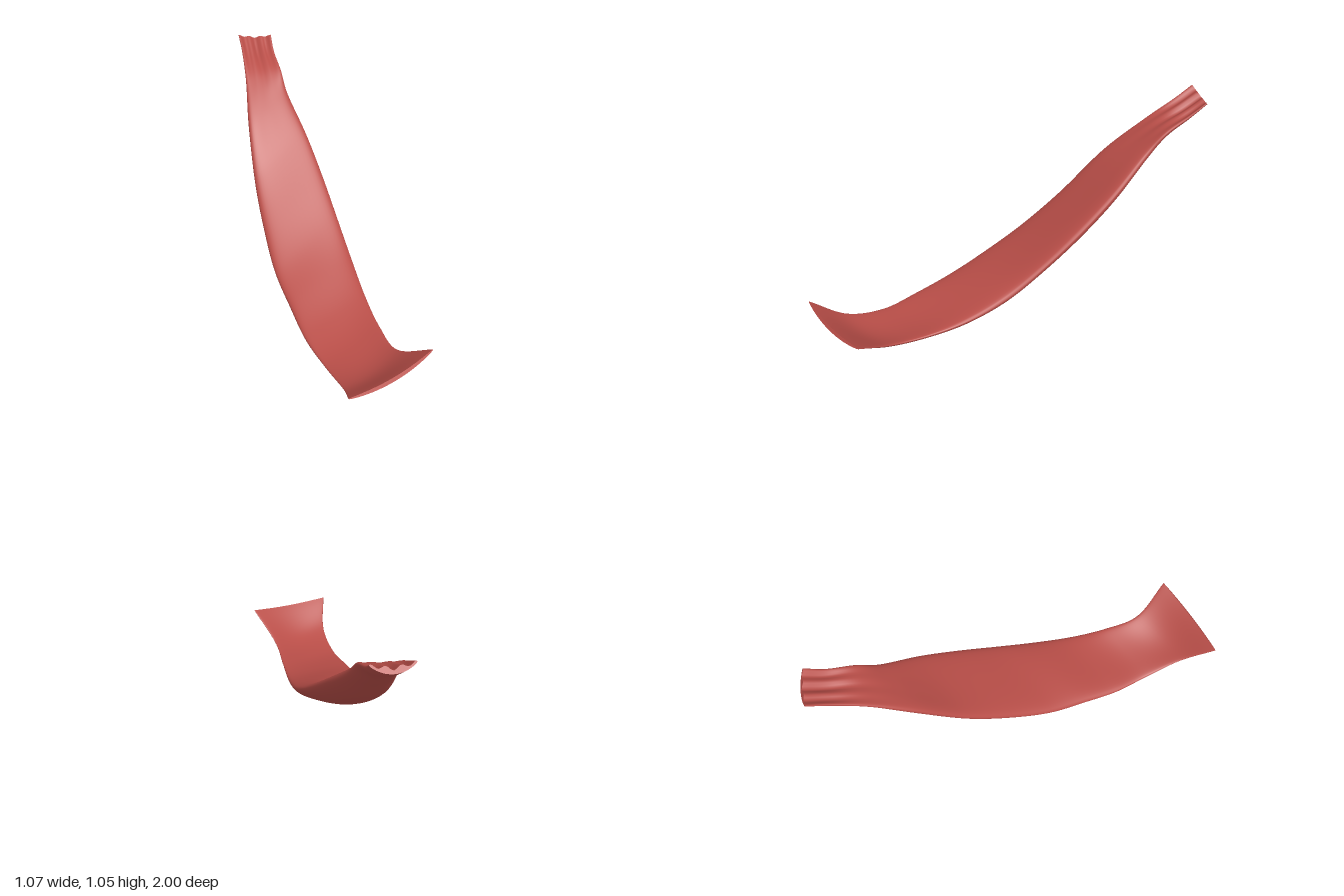
import * as THREE from 'three';

// Stations from the narrow raised end to the flared lip:
// left edge xyz, right edge xyz, [camber, half thickness, fluting]
const STATIONS = [
  [[0.37, 1.05, -1.0], [0.53, 1.04, -0.9], [0.03, 0.012, 0.012]],
  [[0.325, 0.985, -0.91], [0.487, 0.975, -0.82], [0.03, 0.02, 0.012]],
  [[0.24, 0.88, -0.77], [0.44, 0.91, -0.7], [0.025, 0.03, 0.003]],
  [[0.12, 0.715, -0.6], [0.405, 0.81, -0.6], [0.025, 0.045, 0]],
  [[0.0, 0.48, -0.4], [0.373, 0.645, -0.4], [0.03, 0.055, 0]],
  [[-0.1, 0.31, -0.2], [0.32, 0.485, -0.2], [0.03, 0.058, 0]],
  [[-0.19, 0.19, 0.0], [0.253, 0.335, 0.0], [0.03, 0.055, 0]],
  [[-0.255, 0.115, 0.2], [0.178, 0.205, 0.2], [0.025, 0.055, 0]],
  [[-0.32, 0.065, 0.4], [0.09, 0.125, 0.4], [0.03, 0.045, 0]],
  [[-0.365, 0.052, 0.6], [0.0, 0.1, 0.6], [0.033, 0.03, 0]],
  [[-0.43, 0.105, 0.79], [-0.07, 0.125, 0.79], [0.04, 0.022, 0]],
  [[-0.535, 0.225, 0.935], [-0.052, 0.262, 0.99], [0.028, 0.009, 0]],
];
const ROWS = 110, HALF = 24, RING = HALF * 2;

const curveOf = (k) =>
  new THREE.CatmullRomCurve3(STATIONS.map((s) => new THREE.Vector3(...s[k])), false, 'catmullrom', 0.5);

function bellyGeometry() {
  const left = curveOf(0), right = curveOf(1), shape = curveOf(2);
  const middle = (t) => left.getPoint(t).lerp(right.getPoint(t), 0.5);
  const positions = [], index = [];

  // One closed lens-shaped section: upper side left to right, then back underneath
  const addRing = (t) => {
    const a = left.getPoint(t), b = right.getPoint(t), s = shape.getPoint(t);
    const along = middle(Math.min(1, t + 0.01)).sub(middle(Math.max(0, t - 0.01)));
    const up = along.cross(b.clone().sub(a)).normalize();
    for (let j = 0; j < RING; j++) {
      const angle = (j / RING) * Math.PI * 2;
      const across = (1 - Math.cos(angle)) / 2, sin = Math.sin(angle);
      let h = -s.x * sin * sin + s.y * sin;
      if (j < HALF) h += s.z * sin * Math.cos(across * Math.PI * 6) * 0.8;
      positions.push(...a.clone().lerp(b, across).addScaledVector(up, h).toArray());
    }
  };

  // Skin
  for (let i = 0; i <= ROWS; i++) addRing(i / ROWS);
  for (let i = 0; i < ROWS; i++) {
    for (let j = 0; j < RING; j++) {
      const p = i * RING + j, q = i * RING + ((j + 1) % RING);
      index.push(p, p + RING, q, q, p + RING, q + RING);
    }
  }

  // Thin end faces, joining the upper and lower sides
  for (const end of [0, 1]) {
    const base = positions.length / 3;
    addRing(end);
    for (let j = 0; j < HALF; j++) {
      const u0 = base + j, u1 = base + j + 1;
      const l0 = base + ((RING - j) % RING), l1 = base + RING - j - 1;
      const tris = [[u0, u1, l0], [u1, l1, l0]];
      for (const [x, y, z] of tris) index.push(...(end ? [x, z, y] : [x, y, z]));
    }
  }

  const geometry = new THREE.BufferGeometry();
  geometry.setAttribute('position', new THREE.Float32BufferAttribute(positions, 3));
  geometry.setIndex(index);
  geometry.computeVertexNormals();
  return geometry;
}

export function createModel() {
  const muscleRed = new THREE.MeshStandardMaterial({ color: 0xb94e48 });
  muscleRed.name = 'muscle red';
  const belly = new THREE.Mesh(bellyGeometry(), muscleRed);
  belly.name = 'muscleBelly';

  // Rest on the ground
  belly.geometry.computeBoundingBox();
  belly.position.y = -belly.geometry.boundingBox.min.y;

  const model = new THREE.Group();
  model.name = 'muscle';
  model.add(belly);
  return model;
}
